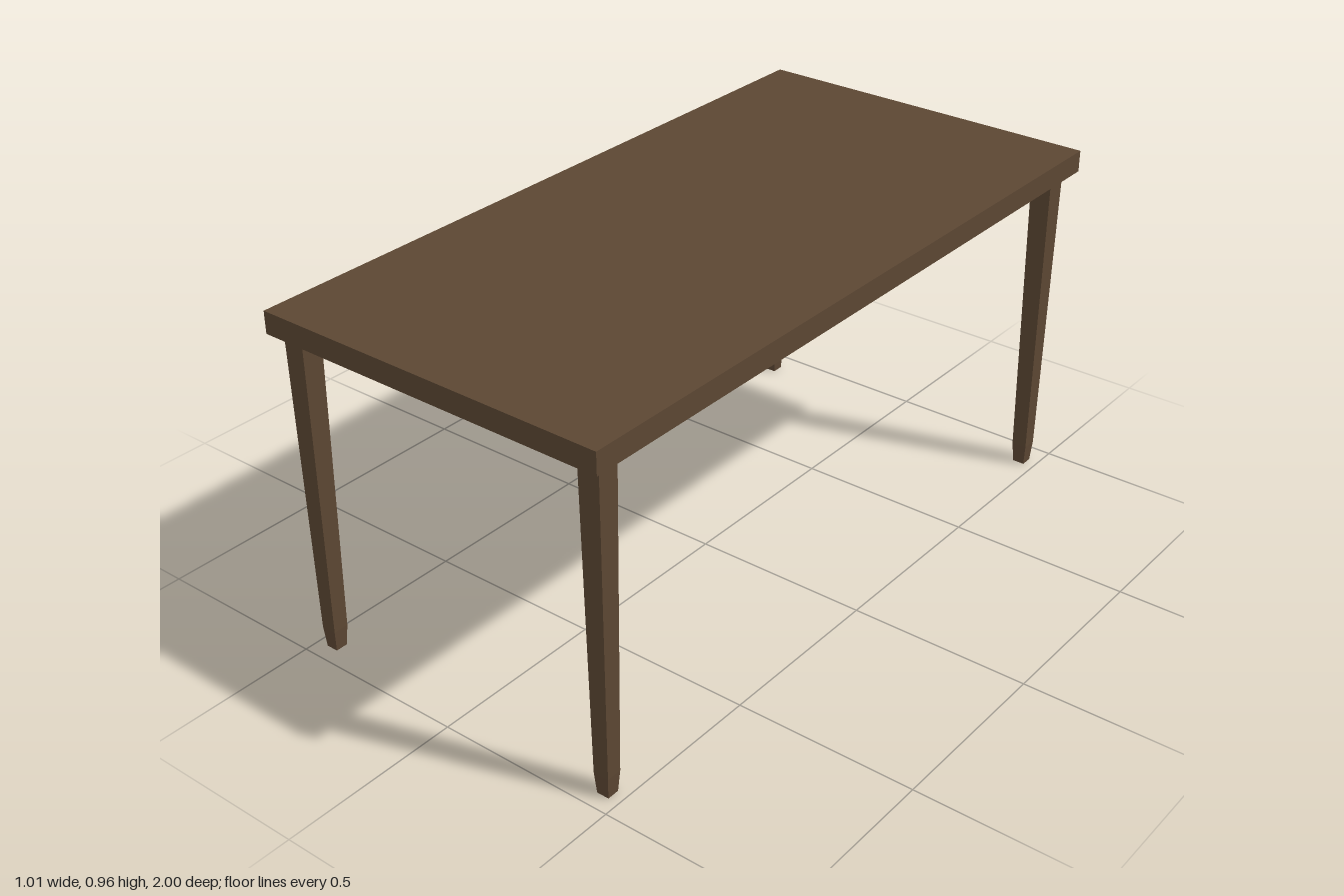
import * as THREE from 'three';

const wood = new THREE.MeshStandardMaterial({ color: 0x5c4733, flatShading: true });

// Square leg: long gentle taper, then a sharper taper at the foot
function legGeometry() {
  const profile = [[0, 0.034], [0.06, 0.043], [0.9, 0.06]]; // [height, width]
  const geo = new THREE.BoxGeometry(1, 1, 1, 1, profile.length - 1, 1);
  const pos = geo.attributes.position;
  for (let i = 0; i < pos.count; i++) {
    const [y, w] = profile[Math.round((pos.getY(i) + 0.5) * (profile.length - 1))];
    pos.setXYZ(i, pos.getX(i) * w, y, pos.getZ(i) * w);
  }
  geo.computeVertexNormals();
  return geo;
}

export function createModel() {
  const table = new THREE.Group();
  table.name = 'table';

  // Rectangular slab top
  const top = new THREE.Mesh(new THREE.BoxGeometry(1.01, 0.06, 2), wood);
  top.name = 'tableTop';
  top.position.y = 0.931;
  table.add(top);

  // Four corner legs, the back pair set slightly further in
  const geo = legGeometry();
  for (const [end, z] of [['front', 0.939], ['back', -0.92]]) {
    for (const [side, x] of [['Left', 0.453], ['Right', -0.451]]) {
      const leg = new THREE.Mesh(geo, wood);
      leg.name = `${end}${side}Leg`;
      leg.position.set(x, 0, z);
      leg.scale.y = 1.002;
      table.add(leg);
    }
  }
  return table;
}
